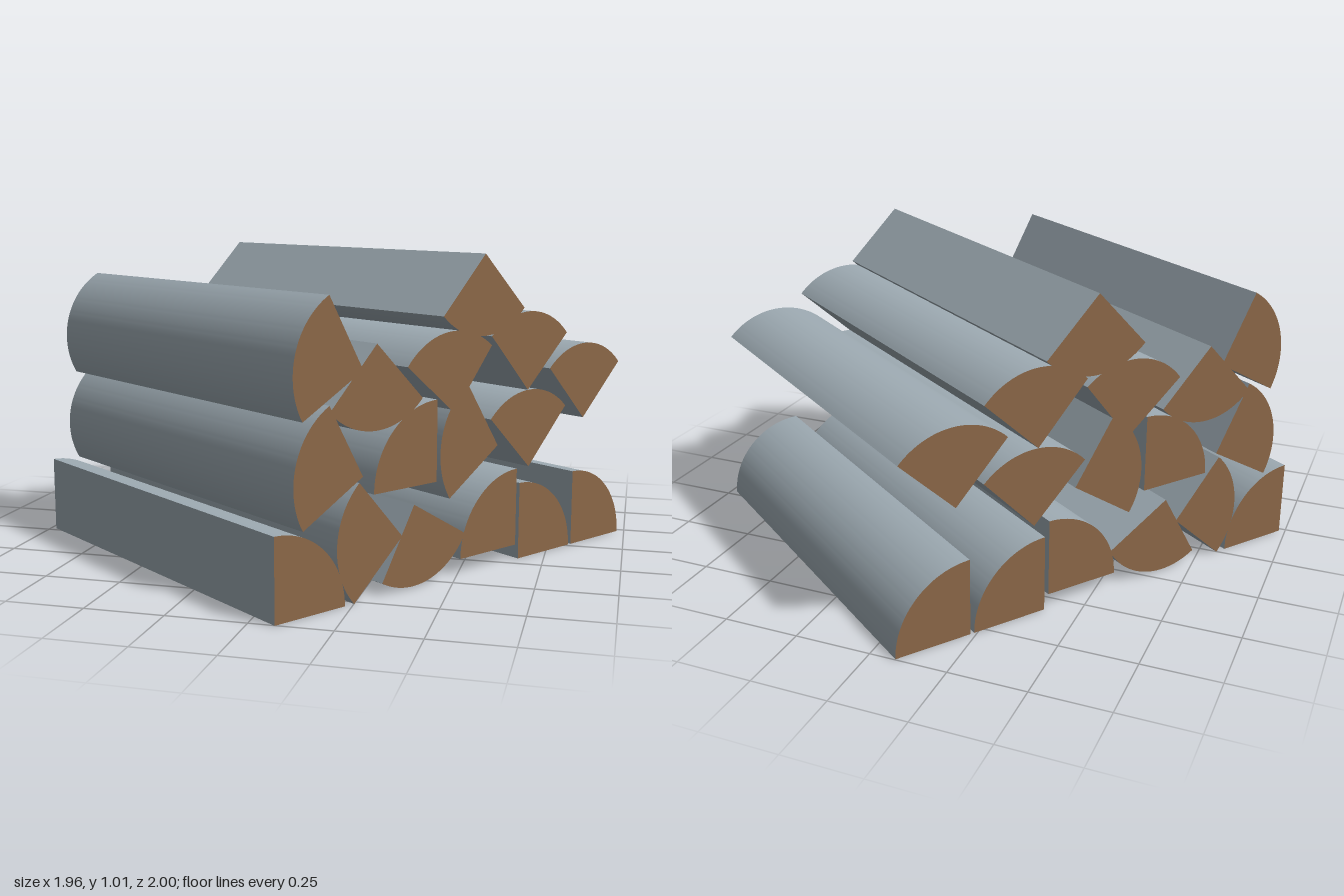
import * as THREE from 'three';
import { toCreasedNormals } from 'three/addons/utils/BufferGeometryUtils.js';

const RADIUS = 0.255;
const LENGTH = 1.31;

// Split logs: [name, x and y of the split edge, start angle of the quarter in degrees]
const LOGS = [
  ['bottomLog', -0.765, 0, 0],
  ['bottomLog', -0.285, 0.17, 132],
  ['bottomLog', -0.237, 0.259, 240],
  ['bottomLog', 0.22, 0.05, 90],
  ['bottomLog', 0.235, 0, 0],
  ['bottomLog', 0.503, 0, 0],
  ['secondRowLog', -0.442, 0.376, 119.5],
  ['secondRowLog', -0.144, 0.316, 90],
  ['secondRowLog', 0.126, 0.395, 123.5],
  ['secondRowLog', 0.276, 0.305, 46],
  ['secondRowLog', 0.548, 0.437, 44],
  ['thirdRowLog', -0.442, 0.687, 119.5],
  ['thirdRowLog', -0.39, 0.76, 226],
  ['thirdRowLog', -0.07, 0.52, 51],
  ['thirdRowLog', 0.264, 0.56, 43],
  ['topLog', 0.055, 1.005, 226],
];

// Quarter-round log along z, split edge on the axis
function quarterLogGeometry() {
  const quarter = new THREE.Shape();
  quarter.moveTo(0, 0);
  quarter.lineTo(RADIUS, 0);
  quarter.absarc(0, 0, RADIUS, 0, Math.PI / 2, false);
  quarter.closePath();
  const geometry = new THREE.ExtrudeGeometry(quarter, {
    depth: LENGTH, bevelEnabled: false, curveSegments: 24,
  });
  geometry.translate(0, 0, -LENGTH / 2);
  return toCreasedNormals(geometry, 0.6);
}

export function createModel() {
  const endGrain = new THREE.MeshStandardMaterial({ color: 0x8c6848 });
  endGrain.name = 'endGrainBrown';
  const side = new THREE.MeshStandardMaterial({ color: 0x9eabb3 });
  side.name = 'sideGrey';

  const pile = new THREE.Group();
  pile.name = 'logPile';
  const geometry = quarterLogGeometry();

  LOGS.forEach(([name, x, y, degrees], i) => {
    const log = new THREE.Mesh(geometry, [endGrain, side]);
    log.name = `${name}${i + 1}`;
    log.position.set(x, y, 0);
    log.rotation.z = THREE.MathUtils.degToRad(degrees);
    pile.add(log);
  });

  // The whole pile lies at an angle
  pile.rotation.y = THREE.MathUtils.degToRad(54);
  const model = new THREE.Group();
  model.name = 'firewoodStack';
  model.add(pile);
  return model;
}
